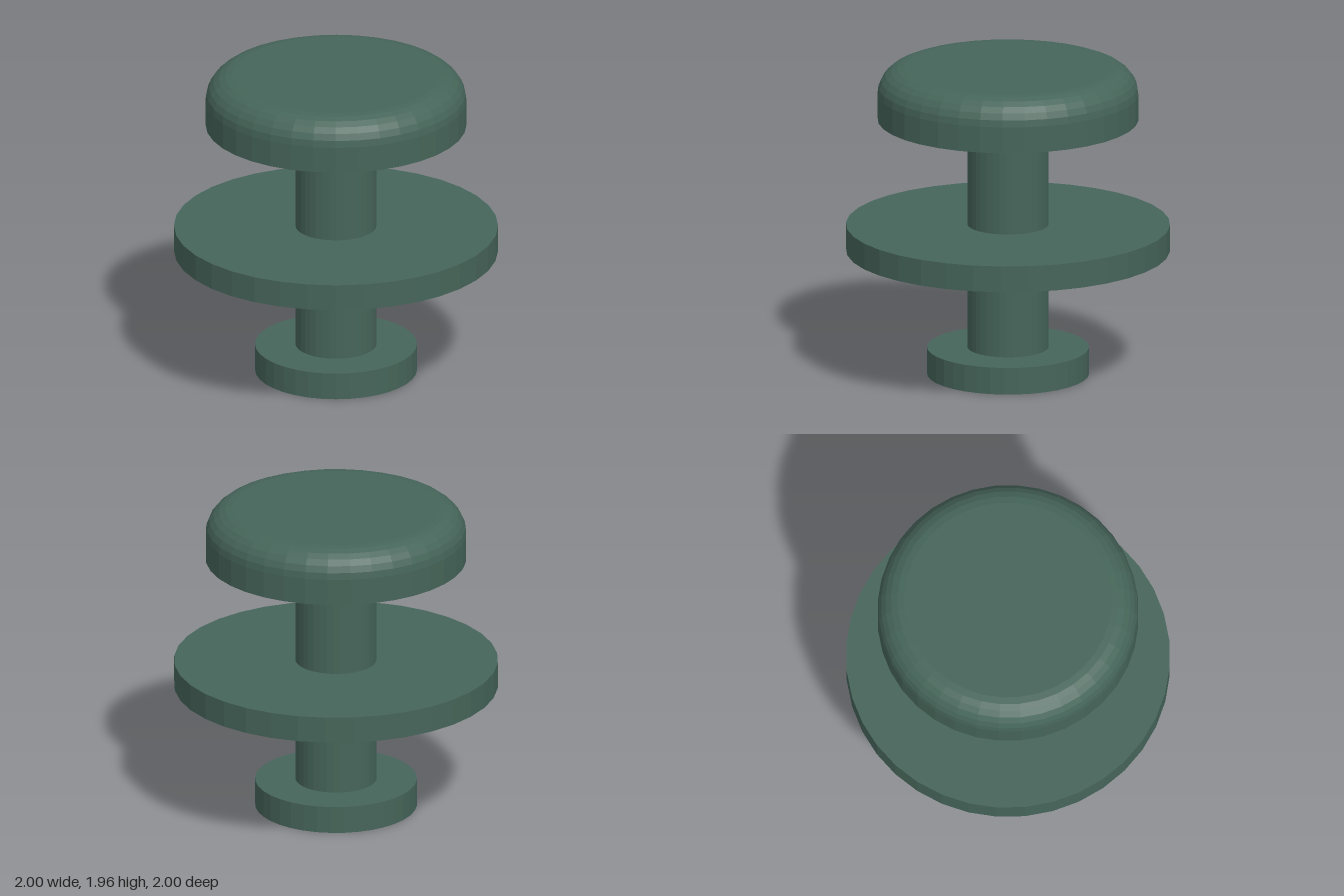
import * as THREE from 'three';

const SIDES = 36;

export function createModel() {
  const group = new THREE.Group();
  const material = new THREE.MeshStandardMaterial({ color: 0x46655a, flatShading: true });

  const add = (name, geometry) => {
    const mesh = new THREE.Mesh(geometry, material);
    mesh.name = name;
    group.add(mesh);
  };

  // Upright faceted disc or post between two heights
  const addCylinder = (name, radius, bottom, top) => {
    const geometry = new THREE.CylinderGeometry(radius, radius, top - bottom, SIDES);
    geometry.translate(0, (bottom + top) / 2, 0);
    add(name, geometry);
  };

  addCylinder('base', 0.5, 0, 0.17);
  addCylinder('lowerStem', 0.25, 0.17, 0.79);
  addCylinder('flange', 1, 0.79, 0.955);
  addCylinder('upperStem', 0.25, 0.955, 1.625);

  // Cap: flat underside, straight wall, rounded shoulder and flat top
  const radius = 0.805, fillet = 0.165, top = 1.955, steps = 6;
  const profile = [new THREE.Vector2(0, 1.625), new THREE.Vector2(radius, 1.625)];
  for (let i = 0; i <= steps; i++) {
    const a = (i / steps) * Math.PI / 2;
    profile.push(new THREE.Vector2(
      radius - fillet + fillet * Math.cos(a),
      top - fillet + fillet * Math.sin(a)
    ));
  }
  profile.push(new THREE.Vector2(0, top));
  add('cap', new THREE.LatheGeometry(profile, SIDES));

  return group;
}
